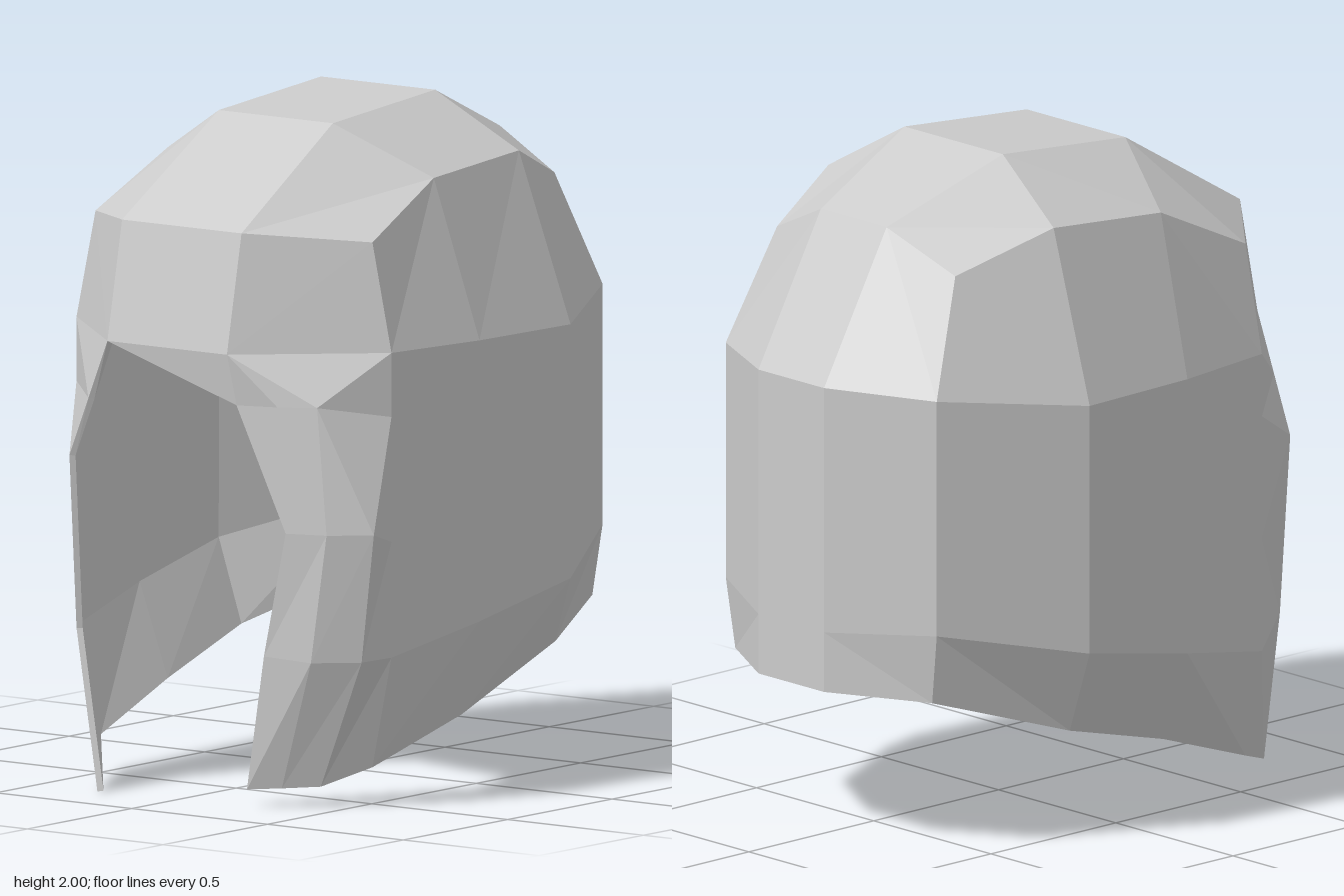
import * as THREE from 'three';

const THICKNESS = 0.018;
const mix = (a, b, t) => a.map((v, i) => v + (b[i] - v) * t);

// One vertical column of the shell: shoulder, brow, two points between, lower bend, hem
const column = (top, brow, bend, hem) =>
  [top, brow, mix(brow, bend, 0.21), mix(brow, bend, 0.62), bend, hem];

// Columns from the back round to the temple, for side s (+1 left, -1 right)
function sideColumns(s, hemC, hemD) {
  return [
    column([0.14, 1.84, -0.58], [0.14, 1.4, -0.83], [0.14, 0.66, -0.83], [0.14, 0.48, -0.83]),
    column([0.38, 1.73, -0.53], [0.45, 1.39, -0.67], [0.45, 0.68, -0.67], [0.42, 0.47, -0.66]),
    column([0.48, 1.84, -0.23], [0.655, 1.34, -0.25], [0.655, 0.59, -0.25], hemC),
    column([0.49, 1.81, 0.19], [0.635, 1.34, 0.16], [0.635, 0.51, 0.16], hemD),
    column([0.51, 1.66, 0.51], [0.58, 1.34, 0.51], [0.58, 0.44, 0.51], [0.51, 0.11, 0.51]),
  ].map(col => col.map(([x, y, z]) => [x * s, y, z]));
}

// Collects shared points and outward-facing triangles
function surface() {
  const points = [], tris = [], keys = new Map();
  const id = p => {
    const key = p.map(v => v.toFixed(3)).join();
    if (!keys.has(key)) { keys.set(key, points.length); points.push(new THREE.Vector3(...p)); }
    return keys.get(key);
  };
  const tri = (p, q, r) => {
    const [a, b, c] = [id(p), id(q), id(r)];
    if (a === b || b === c || a === c) return;
    const [A, B, C] = [points[a], points[b], points[c]];
    const n = B.clone().sub(A).cross(C.clone().sub(A));
    const mid = A.clone().add(B).add(C).divideScalar(3);
    const out = mid.clone().sub(new THREE.Vector3(0, Math.min(mid.y, 1.2), 0));
    tris.push(n.dot(out) > 0 ? [a, b, c] : [a, c, b]);
  };
  const grid = cols => {
    for (let i = 0; i < cols.length - 1; i++)
      for (let j = 0; j < cols[i].length - 1; j++) {
        const [a, b, c, d] = [cols[i][j], cols[i + 1][j], cols[i + 1][j + 1], cols[i][j + 1]];
        tri(a, b, c);
        tri(a, c, d);
      }
  };
  return { points, tris, tri, grid };
}

// Gives the surface an inner skin and a rim along its open edges
function thicken({ points, tris }, t) {
  const normals = points.map(() => new THREE.Vector3());
  const edges = new Set();
  for (const f of tris) {
    const [A, B, C] = f.map(i => points[i]);
    const n = B.clone().sub(A).cross(C.clone().sub(A)).normalize();
    f.forEach((v, k) => { normals[v].add(n); edges.add(v + '_' + f[(k + 1) % 3]); });
  }
  const inner = points.map((p, i) => p.clone().addScaledVector(normals[i].normalize(), -t));
  const all = [...points, ...inner], n = points.length;
  const faces = [...tris, ...tris.map(([a, b, c]) => [a + n, c + n, b + n])];
  for (const e of edges) {
    const [a, b] = e.split('_').map(Number);
    if (!edges.has(b + '_' + a)) faces.push([b, a, a + n], [b, a + n, b + n]);
  }
  const geo = new THREE.BufferGeometry().setFromPoints(faces.flat().map(i => all[i]));
  geo.computeVertexNormals();
  return geo;
}

export function createModel() {
  const group = new THREE.Group();
  group.name = 'hair';
  const s = surface();
  const left = sideColumns(1, [0.6, 0.4, -0.25], [0.57, 0.23, 0.16]);
  const right = sideColumns(-1, [0.57, 0.34, -0.25], [0.53, 0.23, 0.16]);

  // Front lock on the right side
  const foreR = [-0.22, 1.69, 0.76], browR = [-0.22, 1.34, 0.83];
  right.push([foreR, browR, [-0.29, 1.165, 0.83], [-0.36, 0.99, 0.83],
    [-0.38, 0.47, 0.77], [-0.28, 0, 0.8]]);

  // Front lock on the left side: outer ridge, middle, inner edge
  const foreL = [0.22, 1.69, 0.76], browL = [0.22, 1.34, 0.83];
  left.push(
    [foreL, browL, [0.46, 1.19, 0.71], [0.615, 0.82, 0.64], [0.57, 0.44, 0.64], [0.42, 0.06, 0.64]],
    [foreL, browL, [0.36, 1.19, 0.77], [0.51, 0.82, 0.73], [0.46, 0.44, 0.74], [0.33, 0.055, 0.71]],
    [foreL, browL, [0.24, 1.19, 0.81], [0.39, 0.82, 0.77], [0.31, 0.45, 0.77], [0.24, 0.05, 0.76]],
  );
  s.grid(left);
  s.grid(right);

  // Back panel, forehead panel and the swept fringe
  s.grid([right[0], left[0]]);
  s.grid([[foreR, browR], [foreL, browL]]);
  s.tri(browR, [0.24, 1.19, 0.81], browL);

  // Crown, in rows from front to back
  const ridge = x => [[0.22 * x, 1.69, 0.76], [0.21 * x, 1.96, 0.31],
    [0.21 * x, 2, -0.18], [0.14 * x, 1.84, -0.58]];
  const shoulder = cols => [4, 3, 2, 1].map(i => cols[i][0]);
  s.grid([shoulder(right), ridge(-1), ridge(1), shoulder(left)]);

  const material = new THREE.MeshStandardMaterial({ color: 0xcccccc, flatShading: true });
  const mesh = new THREE.Mesh(thicken(s, THICKNESS), material);
  mesh.name = 'hairShell';
  group.add(mesh);
  return group;
}
